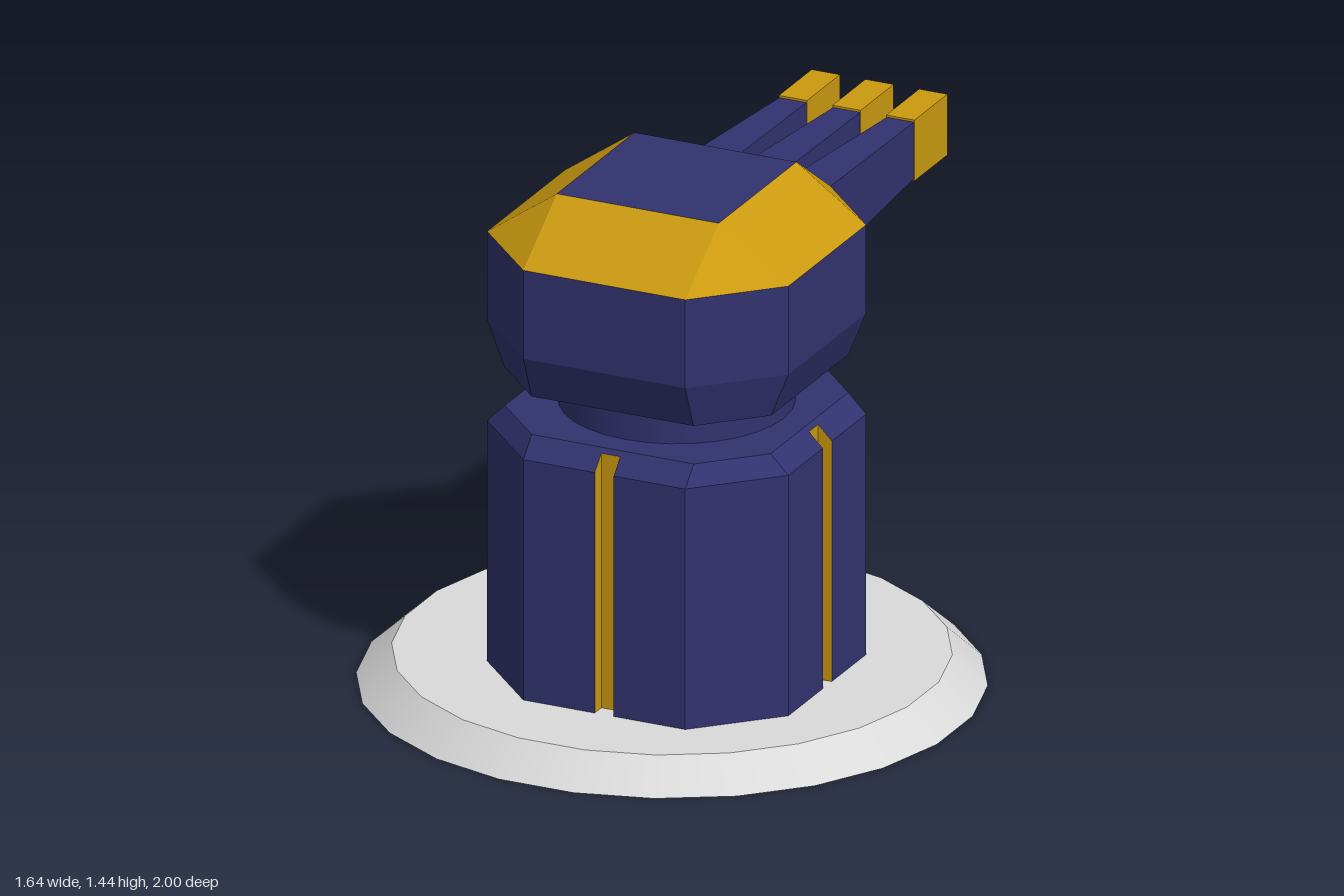
import * as THREE from 'three';

const mat = (name, color) => {
  const m = new THREE.MeshStandardMaterial({ color });
  m.name = name;
  return m;
};

// Ring of points at height y: four flat sides (half width f, distance h) with chamfered
// corners; grooveH sets the floor distance of a slot in the middle of each side.
function octRing(y, h, f, grooveH) {
  const w = 0.0275;
  const side = grooveH === undefined
    ? [[-f, h], [f, h]]
    : [[-f, h], [-w, h], [-w, grooveH], [w, grooveH], [w, h], [f, h]];
  const ring = [];
  for (let k = 0; k < 4; k++) {
    const c = Math.round(Math.cos(k * Math.PI / 2)), s = Math.round(Math.sin(k * Math.PI / 2));
    for (const [u, d] of side) ring.push(new THREE.Vector3(u * c + d * s, y, -u * s + d * c));
  }
  return ring;
}

// Flat-shaded skin over the rings, with end caps; pick(level, segment) gives the material index.
function loft(rings, pick, materialCount) {
  const lists = Array.from({ length: materialCount }, () => []);
  const tri = (m, a, b, c) => {
    const area = b.clone().sub(a).cross(c.clone().sub(a)).length();
    if (area > 1e-8) for (const p of [a, b, c]) lists[m].push(p.x, p.y, p.z);
  };
  const n = rings[0].length;
  for (let l = 0; l < rings.length - 1; l++) {
    for (let i = 0; i < n; i++) {
      const j = (i + 1) % n, lo = rings[l], up = rings[l + 1], m = pick(l, i);
      tri(m, lo[i], lo[j], up[j]);
      tri(m, lo[i], up[j], up[i]);
    }
  }
  const first = rings[0], last = rings[rings.length - 1];
  const c0 = new THREE.Vector3(0, first[0].y, 0), c1 = new THREE.Vector3(0, last[0].y, 0);
  for (let i = 0; i < n; i++) {
    const j = (i + 1) % n;
    tri(0, c0, first[j], first[i]);
    tri(0, c1, last[i], last[j]);
  }
  const geo = new THREE.BufferGeometry();
  geo.setAttribute('position', new THREE.Float32BufferAttribute(lists.flat(), 3));
  let start = 0;
  lists.forEach((list, m) => {
    geo.addGroup(start, list.length / 3, m);
    start += list.length / 3;
  });
  geo.computeVertexNormals();
  return geo;
}

// Box along z whose front (+z) end is widened by factors sx, sy
function taperedBox(w, h, d, sx, sy) {
  const geo = new THREE.BoxGeometry(w, h, d);
  const p = geo.attributes.position;
  for (let i = 0; i < p.count; i++) {
    if (p.getZ(i) > 0) p.setXY(i, p.getX(i) * sx, p.getY(i) * sy);
  }
  geo.computeVertexNormals();
  return geo;
}

export function createModel() {
  const blue = mat('navy blue', 0x323270);
  const gold = mat('gold', 0xcb9a10);
  const grey = mat('light grey', 0xdadada);
  const dark = mat('dark grey', 0x444444);

  const model = new THREE.Group();
  model.name = 'turret';
  const add = (parent, name, geo, material, x = 0, y = 0, z = 0) => {
    const mesh = new THREE.Mesh(geo, material);
    mesh.name = name;
    mesh.position.set(x, y, z);
    parent.add(mesh);
    return mesh;
  };

  // Round base plate with a sloping rim
  const base = add(model, 'basePlate', new THREE.CylinderGeometry(0.735, 0.828, 0.085, 24), grey, 0, 0.0425, 0.178);
  base.rotation.y = Math.PI / 24;

  // Everything above the plate shares one axis
  const tower = new THREE.Group();
  tower.name = 'tower';
  tower.position.set(0.0375, 0, 0.228);
  model.add(tower);

  // Body with a gold slot in each side that runs out through the bevel
  const H = 0.4375, F = 0.235, floor = 0.3975;
  const bodyRings = [
    octRing(0.085, H, F, floor),
    octRing(0.765, H, F, floor),
    octRing(0.805, floor, F, floor),
    octRing(0.817, 0.386, F, 0.386),
  ];
  const slot = (level, i) => (level < 2 && i % 6 >= 1 && i % 6 <= 3 ? 1 : 0);
  add(tower, 'body', loft(bodyRings, slot, 2), [blue, gold]);

  // Neck
  add(tower, 'neck', new THREE.CylinderGeometry(0.311, 0.311, 0.15, 32), blue, 0, 0.87, 0);

  // Head with a gold sloping roof and a blue flat top
  const headRings = [
    octRing(0.925, 0.387, F),
    octRing(1.05, H, F),
    octRing(1.3, H, F),
    octRing(1.442, F, F),
  ];
  add(tower, 'head', loft(headRings, (l) => (l === 2 ? 1 : 0), 2), [blue, gold]);

  // Three tapering barrels with gold muzzles
  for (const i of [-1, 0, 1]) {
    const barrel = new THREE.Group();
    barrel.name = ['rightBarrel', 'middleBarrel', 'leftBarrel'][i + 1];
    barrel.position.set(0.0375 + i * 0.156, 1.175, 0);
    model.add(barrel);
    add(barrel, 'barrelTube', taperedBox(0.079, 0.16, 0.6, 1.58, 1.34), blue, 0, 0, -0.5);
    add(barrel, 'muzzle', new THREE.BoxGeometry(0.082, 0.172, 0.199), gold, 0, 0, -0.8985);
    add(barrel, 'bore', new THREE.BoxGeometry(0.062, 0.15, 0.004), dark, 0, 0, -0.998);
  }

  return model;
}
